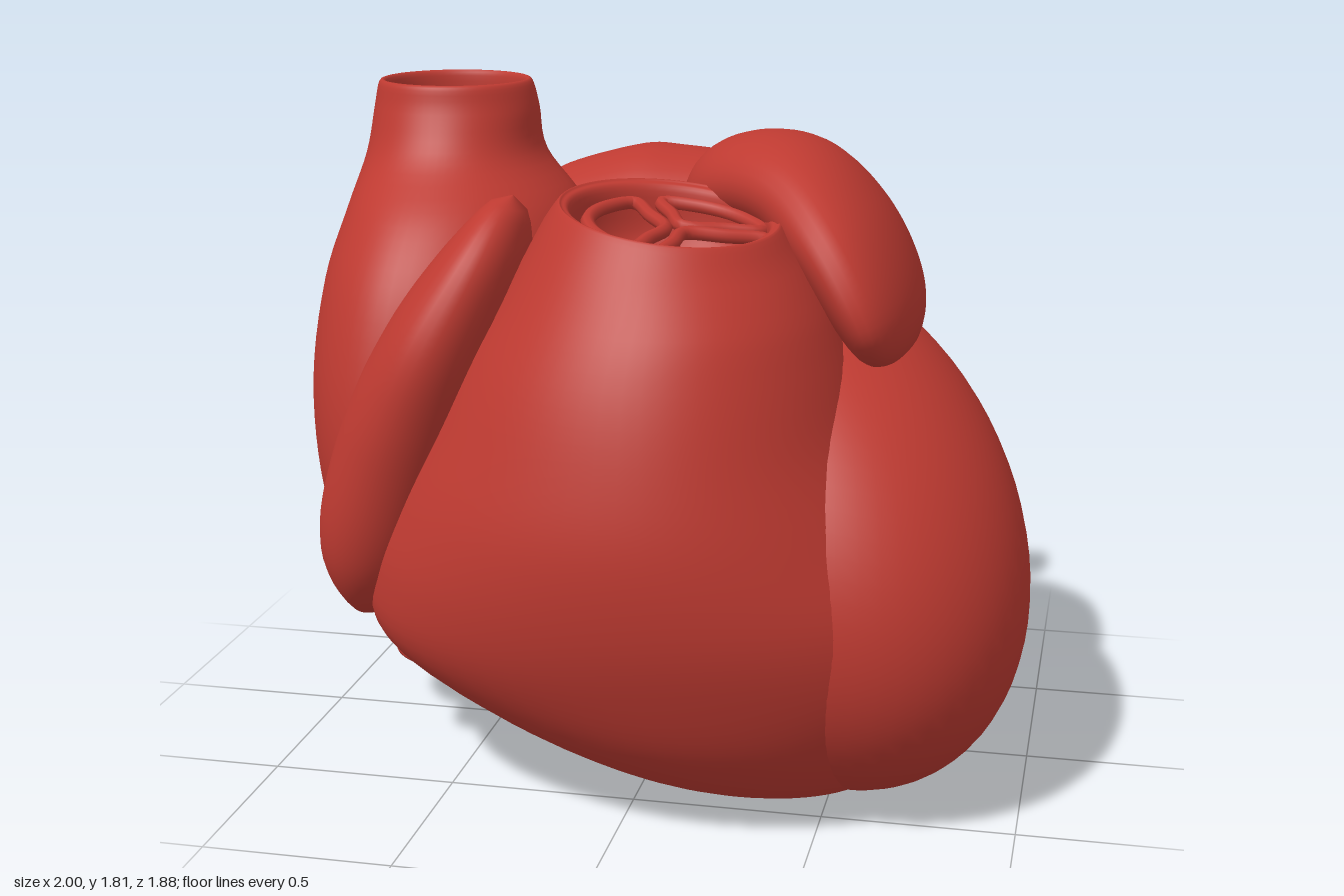
import * as THREE from 'three';
import { mergeVertices } from 'three/addons/utils/BufferGeometryUtils.js';

const V = (a) => new THREE.Vector3(...a);

// Smooth value through a list of numbers at t in 0..1
function spline(values, t) {
  const n = values.length - 1;
  const f = t * n;
  const i = Math.min(Math.floor(f), n - 1);
  const u = f - i;
  const p = (k) => values[Math.max(0, Math.min(n, k))];
  const m0 = (p(i + 1) - p(i - 1)) / 2;
  const m1 = (p(i + 2) - p(i)) / 2;
  const d = p(i + 1) - p(i);
  return p(i) + u * (m0 + u * (3 * d - 2 * m0 - m1 + u * (m0 + m1 - 2 * d)));
}

// Horizontal rings, each [y, xMin, xMax, zMin, zMax, centreX, centreZ]
function loft(rows, rule = () => {}) {
  const sides = 64;
  const steps = (rows.length - 1) * 5;
  const pos = [];
  const index = [];
  const v = new THREE.Vector3();
  for (let i = 0; i <= steps; i++) {
    const [y, x0, x1, z0, z1, cx, cz] = rows[0].map((_, k) => spline(rows.map((r) => r[k]), i / steps));
    for (let j = 0; j < sides; j++) {
      const a = (j / sides) * Math.PI * 2;
      const c = Math.cos(a);
      const s = Math.sin(a);
      v.set(cx + c * (c > 0 ? x1 - cx : cx - x0), y, cz + s * (s > 0 ? z1 - cz : cz - z0));
      rule(v);
      pos.push(v.x, v.y, v.z);
      if (i < steps) {
        const p = i * sides + j;
        const q = i * sides + ((j + 1) % sides);
        index.push(p, p + sides, q, q, p + sides, q + sides);
      }
    }
  }
  const g = new THREE.BufferGeometry();
  g.setAttribute('position', new THREE.Float32BufferAttribute(pos, 3));
  g.setIndex(index);
  g.computeVertexNormals();
  return g;
}

// Tube along a path with changing radius; zRadii makes it a flap with rounded ends
function sweep(points, radii, { closed = false, zRadii = null, segments = 44, sides = 32 } = {}) {
  const curve = new THREE.CatmullRomCurve3(points.map(V), closed);
  const tube = new THREE.TubeGeometry(curve, segments, 1, sides, closed);
  const pos = tube.attributes.position;
  const v = new THREE.Vector3();
  for (let i = 0; i < pos.count; i++) {
    const t = Math.floor(i / (sides + 1)) / segments;
    const c = curve.getPointAt(t);
    const cap = zRadii ? Math.max(0.001, Math.sqrt(1 - (2 * t - 1) ** 6)) : 1;
    const r = spline(radii, t) * cap;
    v.fromBufferAttribute(pos, i).sub(c);
    v.multiply(V([r, r, zRadii ? spline(zRadii, t) * cap : r])).add(c);
    pos.setXYZ(i, v.x, v.y, v.z);
  }
  tube.deleteAttribute('normal');
  tube.deleteAttribute('uv');
  const g = mergeVertices(tube, 1e-5);
  g.computeVertexNormals();
  return g;
}

// Ball stretched along three axes
function blob(centre, u, v, w) {
  const g = new THREE.SphereGeometry(1, 64, 40);
  return g.applyMatrix4(new THREE.Matrix4().makeBasis(V(u), V(v), V(w)).setPosition(...centre));
}

export function createModel() {
  const heart = new THREE.Group();
  heart.name = 'heart';
  const red = new THREE.MeshStandardMaterial({ color: 0xbe3a31, side: THREE.DoubleSide });
  red.name = 'muscle red';
  const add = (name, geometry) => {
    const mesh = new THREE.Mesh(geometry, red);
    mesh.name = name;
    heart.add(mesh);
  };

  // Left ventricle: leaning egg
  add('leftVentricle', blob([0.38, 0.68, 0.045], [0.62, -0.137, 0.21], [0, 0.664, -0.077], [0, 0, 0.7]));

  // Right ventricle, narrowing to a tilted outflow rim with a hollow inside
  const tilt = (v) => {
    const k = Math.max(0, Math.min(1, (v.y - 1.3) / 0.2));
    v.y += k * (-0.12 * (v.x - 0.08) - 0.1 * (v.z - 0.37));
  };
  add('rightVentricle', loft([
    [0.04, 0.34, 0.36, 0.29, 0.31, 0.35, 0.3],
    [0.05, 0.1, 0.58, 0.1, 0.5, 0.35, 0.3],
    [0.11, -0.16, 0.68, -0.05, 0.64, 0.25, 0.3],
    [0.25, -0.47, 0.78, -0.2, 0.78, 0.15, 0.3],
    [0.42, -0.73, 0.85, -0.25, 0.87, 0.1, 0.3],
    [0.6, -0.74, 0.82, -0.25, 0.93, 0.08, 0.3],
    [0.8, -0.66, 0.7, -0.25, 0.95, 0.06, 0.3],
    [1.0, -0.55, 0.59, -0.2, 0.92, 0.06, 0.32],
    [1.2, -0.44, 0.52, -0.12, 0.86, 0.06, 0.34],
    [1.4, -0.31, 0.44, 0.0, 0.76, 0.08, 0.36],
    [1.54, -0.22, 0.36, 0.08, 0.67, 0.08, 0.37],
    [1.55, -0.2, 0.34, 0.1, 0.65, 0.08, 0.37],
    [1.53, -0.18, 0.32, 0.12, 0.63, 0.08, 0.37],
    [1.42, -0.17, 0.31, 0.13, 0.62, 0.08, 0.37],
    [1.36, -0.08, 0.22, 0.22, 0.53, 0.08, 0.37],
    [1.35, 0.07, 0.09, 0.36, 0.38, 0.08, 0.37],
  ], tilt));

  // Three valve cusps, each a rounded wedge outline
  const arms = [-2.1, -0.3, 1.7, Math.PI * 2 - 2.1];
  for (let k = 0; k < 3; k++) {
    const span = arms[k + 1] - arms[k];
    const at = (t, r) => {
      const a = arms[k] + span * t;
      const p = V([0.09 + Math.cos(a) * r, 1.51, 0.37 + Math.sin(a) * r]);
      tilt(p);
      return p.toArray();
    };
    const outline = [at(0.5, 0.03), at(0.12, 0.12)];
    for (let j = 0; j <= 4; j++) outline.push(at(0.08 + j * 0.21, 0.225));
    outline.push(at(0.88, 0.12));
    add('valveCusp', sweep(outline, [0.018, 0.018], { closed: true, sides: 8 }));
  }

  // Hollow root between the chambers
  const ring = (y, r) => [y, -0.13 - r, -0.13 + r, -0.02 - r, -0.02 + r, -0.13, -0.02];
  add('aorticRoot', loft([ring(0.9, 0.2), ring(1.2, 0.21), ring(1.36, 0.2), ring(1.38, 0.185),
    ring(1.35, 0.17), ring(1.2, 0.17), ring(1.1, 0.1), ring(1.08, 0.002)]));

  // Right atrium with the upper and lower great veins, open at both ends
  add('rightAtriumAndVeins', loft([
    [0.18, -0.84, -0.43, -0.32, 0.1, -0.63, -0.11],
    [0.17, -0.85, -0.41, -0.33, 0.11, -0.63, -0.11],
    [0.3, -0.86, -0.39, -0.35, 0.15, -0.63, -0.11],
    [0.45, -0.91, -0.4, -0.41, 0.33, -0.64, -0.11],
    [0.6, -0.95, -0.32, -0.48, 0.48, -0.65, -0.1],
    [0.8, -0.985, -0.28, -0.55, 0.54, -0.67, -0.1],
    [1.05, -1.0, -0.22, -0.58, 0.53, -0.67, -0.1],
    [1.3, -0.97, -0.22, -0.52, 0.46, -0.65, -0.1],
    [1.48, -0.92, -0.28, -0.42, 0.34, -0.63, -0.11],
    [1.62, -0.885, -0.39, -0.36, 0.17, -0.63, -0.13],
    [1.74, -0.865, -0.41, -0.34, 0.1, -0.64, -0.13],
    [1.81, -0.85, -0.43, -0.335, 0.08, -0.64, -0.13],
    [1.8, -0.83, -0.45, -0.32, 0.06, -0.64, -0.13],
    [1.7, -0.83, -0.45, -0.32, 0.06, -0.64, -0.13],
  ]));

  // Right auricle: flap lying over the right ventricle
  add('rightAuricle', sweep(
    [[-0.34, 1.58, 0.36], [-0.39, 1.44, 0.39], [-0.51, 1.2, 0.41], [-0.63, 0.92, 0.41], [-0.73, 0.62, 0.41], [-0.76, 0.43, 0.38]],
    [0.09, 0.12, 0.15, 0.17, 0.17, 0.15, 0.09],
    { zRadii: [0.17, 0.22, 0.26, 0.25, 0.22, 0.18, 0.12] }));

  // Left atrium: a body crossed by two wide tubes that narrow to the lung veins
  add('leftAtrium', blob([-0.15, 1.04, -0.55], [0.54, 0, 0], [0, 0.54, 0], [0, 0, 0.38]));
  add('upperLungVeins', sweep(
    [[-0.78, 1.26, -0.61], [-0.66, 1.27, -0.6], [-0.42, 1.28, -0.55], [-0.1, 1.29, -0.53], [0.2, 1.36, -0.55], [0.34, 1.41, -0.59], [0.42, 1.42, -0.6]],
    [0.09, 0.13, 0.22, 0.28, 0.31, 0.29, 0.24, 0.15, 0.09]));
  add('lowerLungVeins', sweep(
    [[-0.77, 0.89, -0.84], [-0.66, 0.89, -0.82], [-0.45, 0.91, -0.73], [-0.15, 0.95, -0.65], [0.15, 0.97, -0.71], [0.32, 0.97, -0.8], [0.42, 0.97, -0.81]],
    [0.09, 0.1, 0.19, 0.25, 0.28, 0.26, 0.21, 0.12, 0.1]));

  // Left auricle: arched flap draped over the left ventricle, widening downwards
  add('leftAuricle', sweep(
    [[0.04, 1.47, -0.12], [0.17, 1.57, -0.08], [0.33, 1.57, -0.01], [0.46, 1.47, 0.06], [0.57, 1.3, 0.1], [0.62, 1.14, 0.12]],
    [0.11, 0.12, 0.135, 0.135, 0.12, 0.1],
    { zRadii: [0.17, 0.22, 0.3, 0.38, 0.41, 0.41] }));

  return heart;
}
